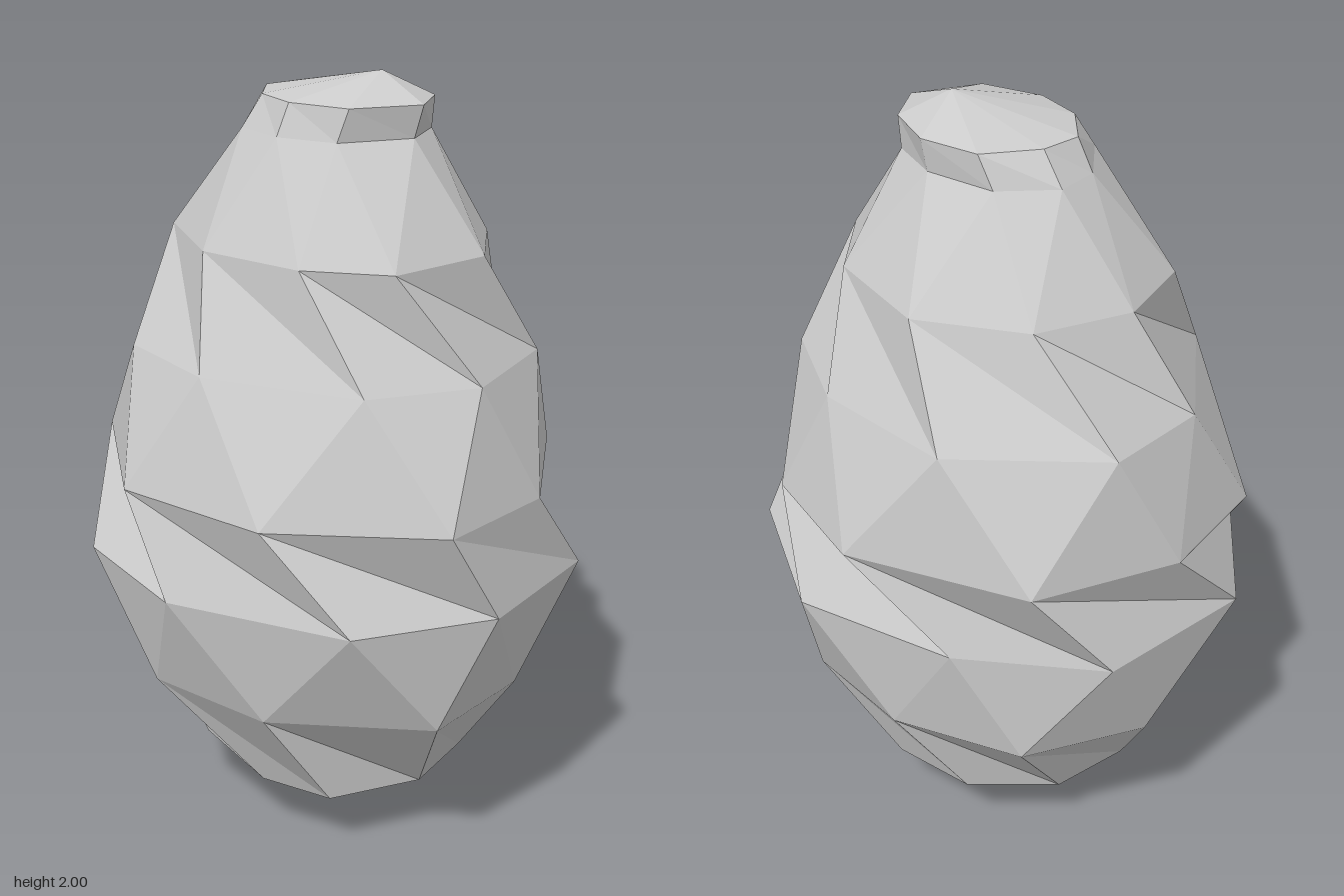
import * as THREE from 'three';

// Each ring: height, then nine [x, z] corners running left side -> front -> right side -> back.
const lowerRings = [
  { y: 0.18, p: [[-.22, .27], [.08, .31], [.27, .24], [.35, 0], [.28, -.21], [.05, -.335], [-.18, -.3], [-.35, -.12], [-.37, .1]] },
  { y: 0.46, p: [[-.46, .28], [-.12, .5], [.24, .43], [.55, .13], [.49, -.2], [.22, -.46], [-.1, -.48], [-.43, -.34], [-.565, -.03]] },
  { y: 0.765, p: [[-.35, .53], [.05, .58], [.5, .37], [.64, .02], [.53, -.38], [.13, -.58], [-.3, -.46], [-.61, -.21], [-.62, .235]] },
  { y: 1.01, p: [[-.56, .32], [-.12, .575], [.31, .49], [.63, .17], [.58, -.17], [.29, -.5], [-.06, -.585], [-.51, -.39], [-.64, -.02]] },
];
const upperRings = [
  { y: 1.32, p: [[-.27, .43], [.05, .46], [.43, .27], [.54, 0], [.41, -.32], [.13, -.46], [-.27, -.46], [-.565, -.17], [-.54, .12]] },
  { y: 1.59, p: [[-.35, .24], [-.06, .36], [.23, .3], [.41, .16], [.41, -.125], [.22, -.32], [-.1, -.39], [-.35, -.235], [-.43, .01]] },
  { y: 1.86, p: [[-.12, .19], [.04, .21], [.19, .15], [.26, -.03], [.18, -.16], [.03, -.21], [-.16, -.18], [-.26, -.06], [-.24, .06]] },
];
const capRing = { y: 1.94, p: [[-.09, .15], [.05, .18], [.21, .13], [.28, -.04], [.19, -.16], [.04, -.22], [-.12, -.19], [-.2, -.06], [-.2, .05]] };

const toPoints = ({ y, p }) => p.map(([x, z]) => new THREE.Vector3(x, y, z));

// Joins consecutive rings with a one-way diagonal and closes the ends at optional tips.
function facetedShell(rings, bottomTip, topTip) {
  const loops = rings.map(toPoints);
  const tris = [];
  const n = loops[0].length;
  for (let i = 0; i < n; i++) {
    const j = (i + 1) % n;
    for (let k = 0; k + 1 < loops.length; k++) {
      const low = loops[k], high = loops[k + 1];
      tris.push(low[i], low[j], high[i], high[i], low[j], high[j]);
    }
    if (bottomTip) tris.push(loops[0][j], loops[0][i], bottomTip);
    const last = loops[loops.length - 1];
    if (topTip) tris.push(last[i], last[j], topTip);
  }
  const geometry = new THREE.BufferGeometry().setFromPoints(tris);
  geometry.computeVertexNormals();
  return geometry;
}

export function createModel() {
  const group = new THREE.Group();
  group.name = 'facetedPod';
  const material = new THREE.MeshStandardMaterial({ color: 0xcccccc, flatShading: true });
  const add = (name, geometry) => {
    const mesh = new THREE.Mesh(geometry, material);
    mesh.name = name;
    group.add(mesh);
  };

  // Twisted body, pointed at the bottom
  add('body', facetedShell([...lowerRings, ...upperRings], new THREE.Vector3(-.03, 0, -.05), null));
  // Short collar and shallow off-centre tip
  add('topCap', facetedShell([upperRings[2], capRing], null, new THREE.Vector3(.11, 2, -.06)));
  return group;
}
